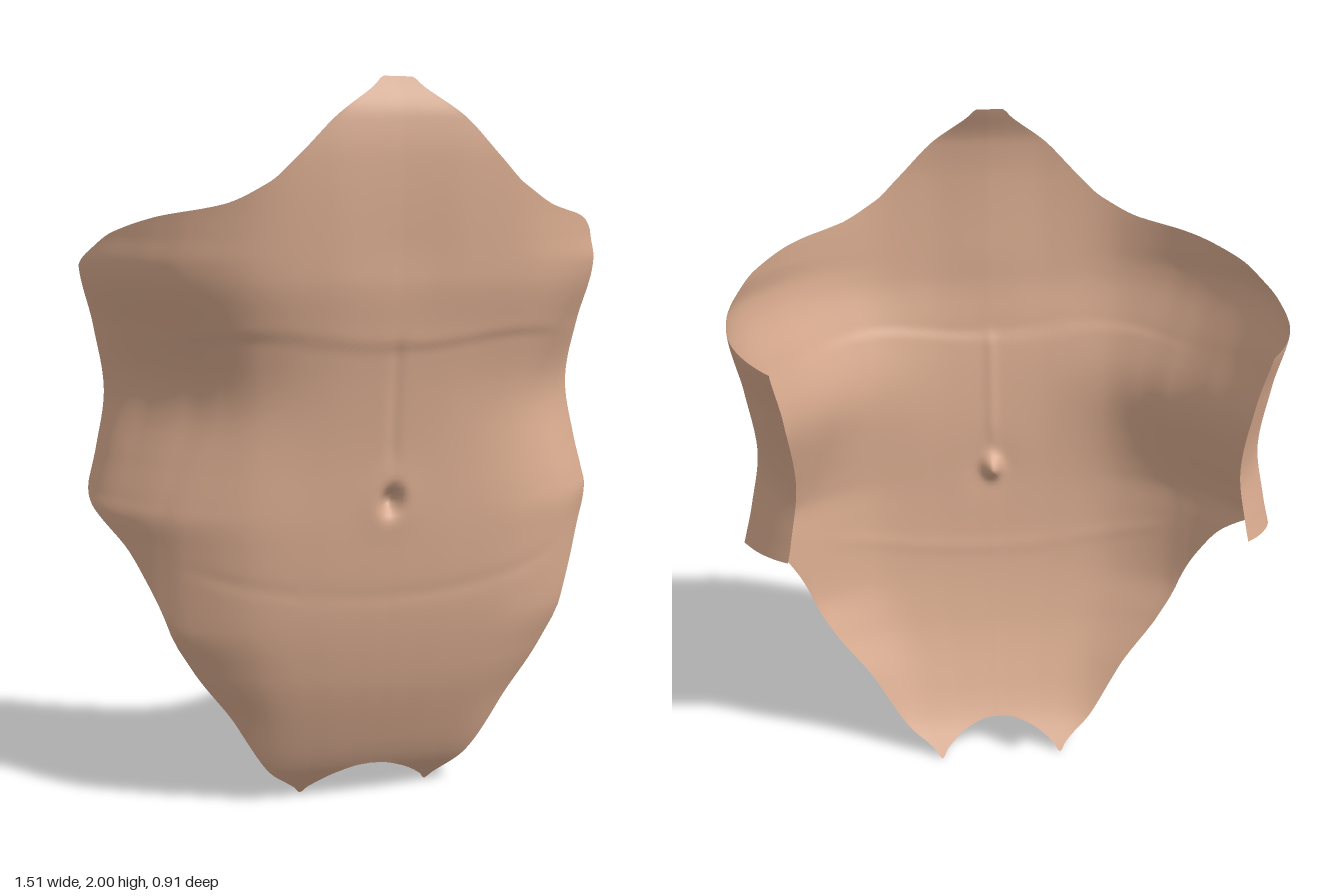
import * as THREE from 'three';

// Monotone smooth curve through [key, value] points
function curve(pts) {
  const n = pts.length;
  const d = [];
  for (let i = 0; i < n - 1; i++) d.push((pts[i + 1][1] - pts[i][1]) / (pts[i + 1][0] - pts[i][0]));
  const m = pts.map((_, i) => {
    if (i === 0) return d[0];
    if (i === n - 1) return d[n - 2];
    return d[i - 1] * d[i] <= 0 ? 0 : 2 * d[i - 1] * d[i] / (d[i - 1] + d[i]);
  });
  return (k) => {
    if (k <= pts[0][0]) return pts[0][1];
    if (k >= pts[n - 1][0]) return pts[n - 1][1];
    let i = 0;
    while (k > pts[i + 1][0]) i++;
    const h = pts[i + 1][0] - pts[i][0];
    const t = (k - pts[i][0]) / h;
    const t2 = t * t, t3 = t2 * t;
    return (2 * t3 - 3 * t2 + 1) * pts[i][1] + (t3 - 2 * t2 + t) * h * m[i]
      + (3 * t2 - 2 * t3) * pts[i + 1][1] + (t3 - t2) * h * m[i + 1];
  };
}

// Body shape by height: half width, front depth, and depth behind the side line
const halfWidth = curve([[0, 0.56], [0.1, 0.562], [0.25, 0.587], [0.42, 0.677], [0.55, 0.738], [0.7, 0.742],
  [0.77, 0.747], [0.85, 0.757], [0.9, 0.746], [1.0, 0.722], [1.17, 0.695], [1.35, 0.72], [1.53, 0.755],
  [1.6, 0.74], [1.68, 0.73], [2, 0.73]]);
const frontZ = curve([[0, 0.115], [0.1, 0.192], [0.2, 0.24], [0.4, 0.31], [0.6, 0.35], [0.8, 0.37],
  [1.0, 0.382], [1.2, 0.402], [1.35, 0.424], [1.5, 0.45], [1.8, 0.464], [1.9, 0.457], [2, 0.42]]);
const backDepth = curve([[0.9, 0.52], [0.95, 0.513], [1.1, 0.487], [1.2, 0.513], [1.4, 0.584], [1.485, 0.63]]);

// Cross-section relative to an ellipse, by angle: full at chest and hips, drawn in at the waist
const fullSwell = curve([[0, 1], [0.1, 1.004], [0.262, 1.025], [0.52, 1.068], [0.75, 1.053], [0.89, 1.032],
  [1.134, 1.006], [1.571, 1]]);
const waistSwell = curve([[0, 1], [0.1, 1.002], [0.262, 1.012], [0.5, 1.02], [0.7, 0.99], [0.89, 0.96],
  [1.134, 0.954], [1.4, 0.99], [1.571, 1]]);

// Trimmed edges: height by angle around the body, 0 at the front centre
const END = 2.171;
const bottomEdge = curve([[0, 0.1], [0.06, 0.097], [0.174, 0.075], [0.3, 0.025], [0.335, 0], [0.365, 0.022],
  [0.52, 0.1], [0.68, 0.25], [0.806, 0.42], [0.855, 0.55], [1.017, 0.7], [1.134, 0.77], [1.36, 0.845],
  [1.571, 0.888], [1.77, 0.92], [END, 0.95]]);
const topEdge = curve([[0, 2], [0.05, 2], [0.09, 1.975], [0.23, 1.9], [0.362, 1.8], [0.455, 1.735], [0.618, 1.68],
  [0.926, 1.648], [1.22, 1.605], [1.39, 1.56], [1.571, 1.525], [1.74, 1.508], [1.894, 1.5], [END, 1.485]]);

const bell = (v, r) => Math.exp(-(v * v) / (r * r));
const step = THREE.MathUtils.smoothstep;

// Muscle relief and navel, measured outward along z
function relief(x, y) {
  const ax = Math.abs(x);
  const side = 1 - step(ax, 0.4, 0.62);
  const chestLine = 1.32 + 0.03 * step(ax, 0.05, 0.35) - 0.03 * step(ax, 0.4, 0.65);
  const above = y - chestLine;
  // chest overhang and hollow between the sides
  let r = 0.006 * side * step(above, -0.02, 0.015) * Math.exp(-Math.max(above, 0) / 0.12);
  r -= 0.012 * bell(x, 0.13) * step(y, 1.3, 1.6);
  // centre line and lower belly crease
  r -= 0.004 * bell(x, 0.016) * step(y, 0.95, 1.05) * (1 - step(y, 1.28, 1.36));
  r -= 0.002 * side * bell(y - 0.635 - 0.3 * x * x, 0.022);
  // navel
  r += 0.006 * bell(x, 0.08) * bell(y - 0.9, 0.08);
  r -= 0.05 * bell(x, 0.026) * bell(y - 0.9, 0.032);
  return r;
}

// Point on the body surface
function bodyPoint(angle, y) {
  const w = halfWidth(y);
  const a = Math.abs(angle);
  const s = Math.sin(a), c = Math.cos(a);
  if (c < 0) return [Math.sign(angle) * w * Math.pow(s, 0.9), y, -0.1 + backDepth(y) * c];
  const swell = THREE.MathUtils.lerp(fullSwell(a), waistSwell(a), bell(y - 1.17, 0.21));
  const x = Math.sign(angle) * w * swell * s;
  return [x, y, -0.1 + (frontZ(y) + 0.1) * swell * c + relief(x, y)];
}

function torsoGeometry(half, rows) {
  const pos = [], index = [];
  for (let i = -half; i <= half; i++) {
    const angle = END * i / half;
    const y0 = bottomEdge(Math.abs(angle)), y1 = topEdge(Math.abs(angle));
    for (let j = 0; j <= rows; j++) pos.push(...bodyPoint(angle, y0 + (y1 - y0) * j / rows));
  }
  const stride = rows + 1;
  for (let i = 0; i < half * 2; i++) {
    for (let j = 0; j < rows; j++) {
      const a = i * stride + j, b = a + stride;
      index.push(a, b, b + 1, a, b + 1, a + 1);
    }
  }
  const g = new THREE.BufferGeometry();
  g.setAttribute('position', new THREE.Float32BufferAttribute(pos, 3));
  g.setIndex(index);
  g.computeVertexNormals();
  return g;
}

export function createModel() {
  const group = new THREE.Group();
  group.name = 'torsoShell';
  const skin = new THREE.MeshStandardMaterial({ color: 0xd9ab8f, side: THREE.DoubleSide });
  skin.name = 'skin';
  // One open sheet: abdomen, chest and wrapped flanks
  const torso = new THREE.Mesh(torsoGeometry(162, 130), skin);
  torso.name = 'torso';
  group.add(torso);
  return group;
}
